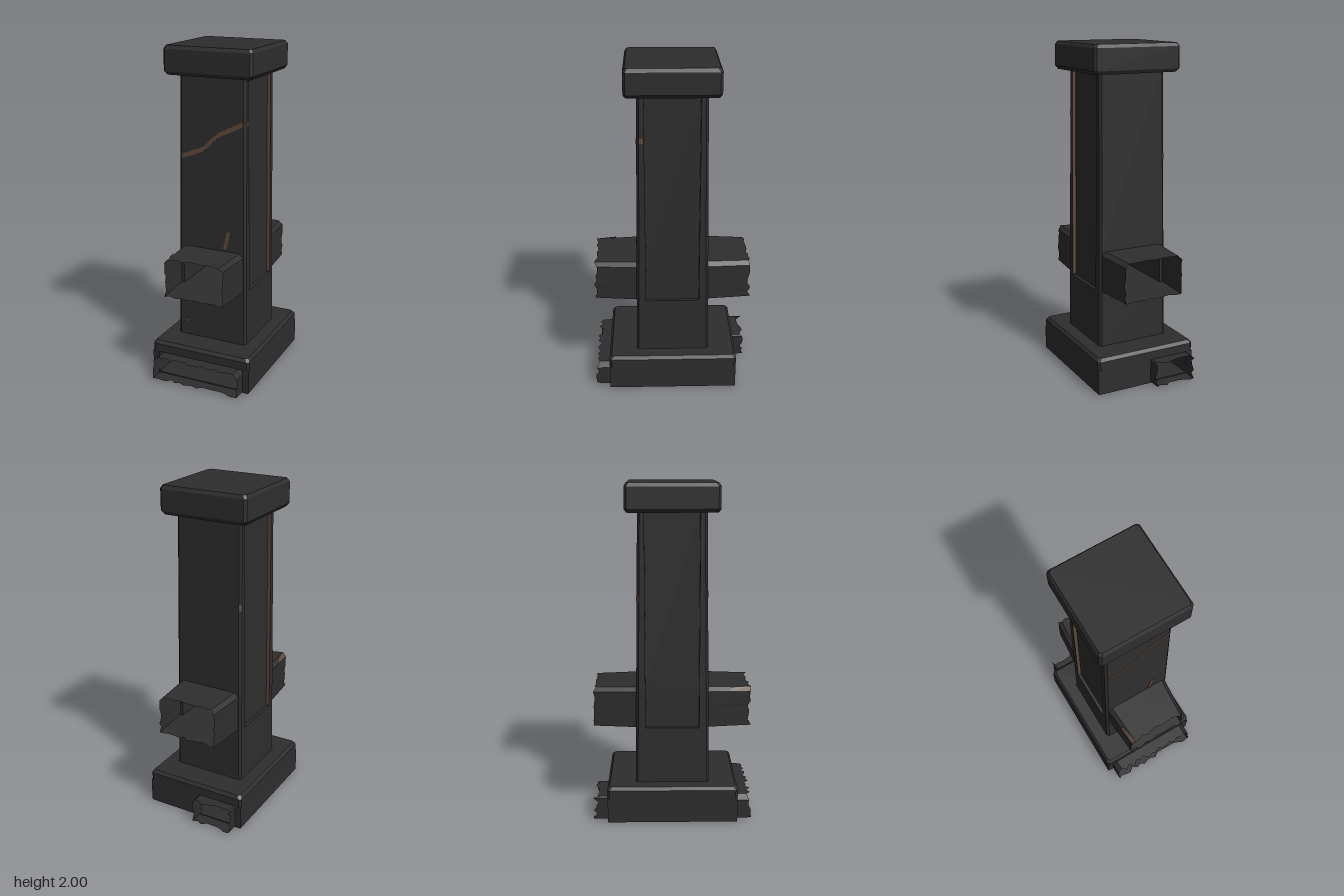
import * as THREE from 'three';

const stone = new THREE.MeshStandardMaterial({ name: 'charcoal stone', color: 0x2e2e2e, side: THREE.DoubleSide });
const rust = new THREE.MeshStandardMaterial({ name: 'rust brown', color: 0x604a3e, side: THREE.DoubleSide });

// small seeded noise for the torn ends
let seed = 7;
const rand = () => (seed = (seed * 16807) % 2147483647) / 2147483647;

function faceted(positions) {
  const g = new THREE.BufferGeometry();
  g.setAttribute('position', new THREE.Float32BufferAttribute(positions, 3));
  g.computeVertexNormals();
  return g;
}

// closed solid through outlines [[y, [[x, z], ...]], ...]
function loft(rings) {
  const p = [];
  const put = (y, q) => p.push(q[0], y, q[1]);
  for (let r = 0; r < rings.length - 1; r++) {
    const [y0, a] = rings[r], [y1, b] = rings[r + 1];
    for (let i = 0; i < a.length; i++) {
      const j = (i + 1) % a.length;
      put(y0, a[i]); put(y1, b[i]); put(y0, a[j]);
      put(y0, a[j]); put(y1, b[i]); put(y1, b[j]);
    }
  }
  const end = ([y, pts], flip) => {
    const tris = THREE.ShapeUtils.triangulateShape(pts.map(q => new THREE.Vector2(...q)), []);
    for (const t of tris) for (const k of flip ? [t[0], t[2], t[1]] : t) put(y, pts[k]);
  };
  end(rings[0], false);
  end(rings[rings.length - 1], true);
  return faceted(p);
}

// column taper and outline, with chamfered corners and an optional side recess
const RECESS = 0.02, PANEL = 0.16, CH = 0.014;
const halfX = y => 0.226 - (y - 0.22) * 0.0117;
const halfZ = y => 0.222 - (y - 0.22) * 0.0136;
function sideOutline(hx, hz, d) {
  const panel = d ? [[hx, -PANEL], [hx - d, -PANEL], [hx - d, PANEL], [hx, PANEL]] : [];
  return [[hx - CH, -hz], [hx, -hz + CH], ...panel, [hx, hz - CH], [hx - CH, hz]];
}
const turn = pts => pts.map(([x, z]) => [-x, -z]);
function outline(hx, hz, d = 0) {
  const s = sideOutline(hx, hz, d);
  return [...s, ...turn(s)];
}
const columnRing = (y, d) => [y, outline(halfX(y), halfZ(y), d)];

// open torn sleeve running along +z, outline corners in xy
function sleeve(corners, z0, z1, sx, sy, tear) {
  const cx = (Math.min(...corners.map(c => c[0])) + Math.max(...corners.map(c => c[0]))) / 2;
  const cy = (Math.min(...corners.map(c => c[1])) + Math.max(...corners.map(c => c[1]))) / 2;
  const near = [], far = [];
  corners.forEach((c, i) => {
    const n = corners[(i + 1) % corners.length];
    const steps = Math.max(1, Math.round(Math.hypot(n[0] - c[0], n[1] - c[1]) / 0.03));
    for (let k = 0; k < steps; k++) {
      const x = c[0] + (n[0] - c[0]) * k / steps, y = c[1] + (n[1] - c[1]) * k / steps;
      near.push([x, y, z0]);
      far.push([cx + (x - cx) * sx, cy + (y - cy) * sy, z1 - rand() * tear]);
    }
  });
  const p = [];
  near.forEach((a, i) => {
    const j = (i + 1) % near.length;
    p.push(...a, ...near[j], ...far[i], ...near[j], ...far[j], ...far[i]);
  });
  return faceted(p);
}
function chamferRect(x0, x1, y0, y1, c) {
  return [[x0, y0], [x1, y0], [x1, y1 - c], [x1 - c, y1], [x0 + c, y1], [x0, y1 - c]];
}

// painted crack: a thin ribbon that follows the sloping front face
function crack(points, dx, dy) {
  const s = new THREE.Shape([
    ...points.map(([x, y]) => new THREE.Vector2(x - dx, y - dy)),
    ...points.slice().reverse().map(([x, y]) => new THREE.Vector2(x + dx, y + dy)),
  ]);
  const g = new THREE.ExtrudeGeometry(s, { depth: 0.004, bevelEnabled: false });
  const p = g.attributes.position;
  for (let i = 0; i < p.count; i++) p.setZ(i, p.getZ(i) + halfZ(p.getY(i)) - 0.001);
  g.computeVertexNormals();
  return g;
}

const quad = (a, b, c, d) => faceted([...a, ...b, ...c, ...a, ...c, ...d]);

export function createModel() {
  const model = new THREE.Group();
  model.name = 'stonePost';
  const add = (name, geometry, material = stone) => {
    const m = new THREE.Mesh(geometry, material);
    m.name = name;
    model.add(m);
    return m;
  };
  const box = (name, x0, x1, y0, y1, z0, z1) =>
    add(name, new THREE.BoxGeometry(x1 - x0, y1 - y0, z1 - z0))
      .position.set((x0 + x1) / 2, (y0 + y1) / 2, (z0 + z1) / 2);

  // cap block
  add('cap', loft([
    [1.835, outline(0.26, 0.26)], [1.855, outline(0.274, 0.272)],
    [1.98, outline(0.274, 0.272)], [2, outline(0.262, 0.26)],
  ]));

  // column: plain foot, recessed shaft, and cheeks either side of the opening
  add('columnFoot', loft([columnRing(0.2, 0), columnRing(0.562, 0)]));
  add('columnShaft', loft([columnRing(0.802, RECESS), columnRing(1.845, RECESS)]));
  const cheekRing = y => [y, [...sideOutline(halfX(y), halfZ(y), RECESS), [0.185, halfZ(y)], [0.185, -halfZ(y)]]];
  const cheek = [cheekRing(0.55), cheekRing(0.81)];
  add('leftCheek', loft(cheek));
  add('rightCheek', loft(cheek.map(([y, pts]) => [y, turn(pts)])));

  // worn brown edges on the recess walls
  for (const sx of [-1, 1]) for (const sz of [-1, 1]) {
    const z = sz * (PANEL - 0.002), lo = 0.57, hi = 1.83;
    add('recessEdge', quad(
      [sx * (halfX(lo) - RECESS), lo, z], [sx * halfX(lo), lo, z],
      [sx * halfX(hi), hi, z], [sx * (halfX(hi) - RECESS), hi, z]), rust);
  }

  // hollow torn rails, front and back
  const rail = chamferRect(-0.205, 0.205, 0.563, 0.806, 0.025);
  add('frontRail', sleeve(rail, 0.2, 0.475, 0.9, 0.96, 0.025));
  add('backRail', sleeve(rail, 0.2, 0.478, 0.9, 0.96, 0.025)).rotation.y = Math.PI;
  add('railWornEdge', quad(
    [-0.196, 0.782, 0.35], [-0.184, 0.804, 0.35], [-0.161, 0.803, 0.465], [-0.187, 0.778, 0.465]), rust);

  // base: chamfered top slab over a hollow tray
  add('baseTop', loft([
    [0.152, outline(0.32, 0.39)], [0.203, outline(0.32, 0.39)], [0.222, outline(0.305, 0.375)],
  ]));
  box('baseFloor', -0.315, 0.315, 0, 0.014, -0.386, 0.386);
  for (const s of [-1, 1]) {
    const x0 = s > 0 ? 0.28 : -0.32;
    box('baseSide', x0, x0 + 0.04, 0.005, 0.152, -0.388, 0.388);
  }
  box('baseBack', -0.03, 0.28, 0.014, 0.152, -0.388, -0.36);

  // torn sleeves in the base: wide at the front, narrow at the back
  add('frontBaseSleeve', sleeve(chamferRect(-0.282, 0.282, 0.008, 0.153, 0.03), 0.37, 0.478, 0.99, 0.97, 0.03));
  add('backBaseSleeve', sleeve(chamferRect(0.03, 0.282, 0.008, 0.153, 0.008), 0.37, 0.478, 1, 0.97, 0.035))
    .rotation.y = Math.PI;

  // brown cracks on the front face
  add('longCrack', crack([[-0.195, 1.358], [-0.12, 1.385], [-0.05, 1.415], [0, 1.465],
    [0.05, 1.508], [0.1, 1.53], [0.195, 1.575]], 0, 0.014), rust);
  add('shortCrack', crack([[0.087, 0.82], [0.098, 0.87], [0.112, 0.93]], 0.013, 0), rust);
  add('scratch', crack([[-0.17, 0.34], [-0.167, 0.305]], 0.003, 0), rust);
  add('scratch', crack([[-0.158, 0.33], [-0.155, 0.3]], 0.003, 0), rust);

  // crack ends that wrap round the corners
  const wrapX = halfX(1.57) + 0.002, chipX = halfX(1.34), chipZ = halfZ(1.34);
  add('crackWrap', quad([wrapX, 1.56, 0.19], [wrapX, 1.56, 0.165], [wrapX, 1.59, 0.165], [wrapX, 1.59, 0.19]), rust);
  add('cornerChip', quad(
    [-chipX - 0.002, 1.32, -chipZ + CH], [-chipX + CH, 1.32, -chipZ - 0.002],
    [-chipX + CH, 1.36, -chipZ - 0.002], [-chipX - 0.002, 1.36, -chipZ + CH]), rust);

  return model;
}
